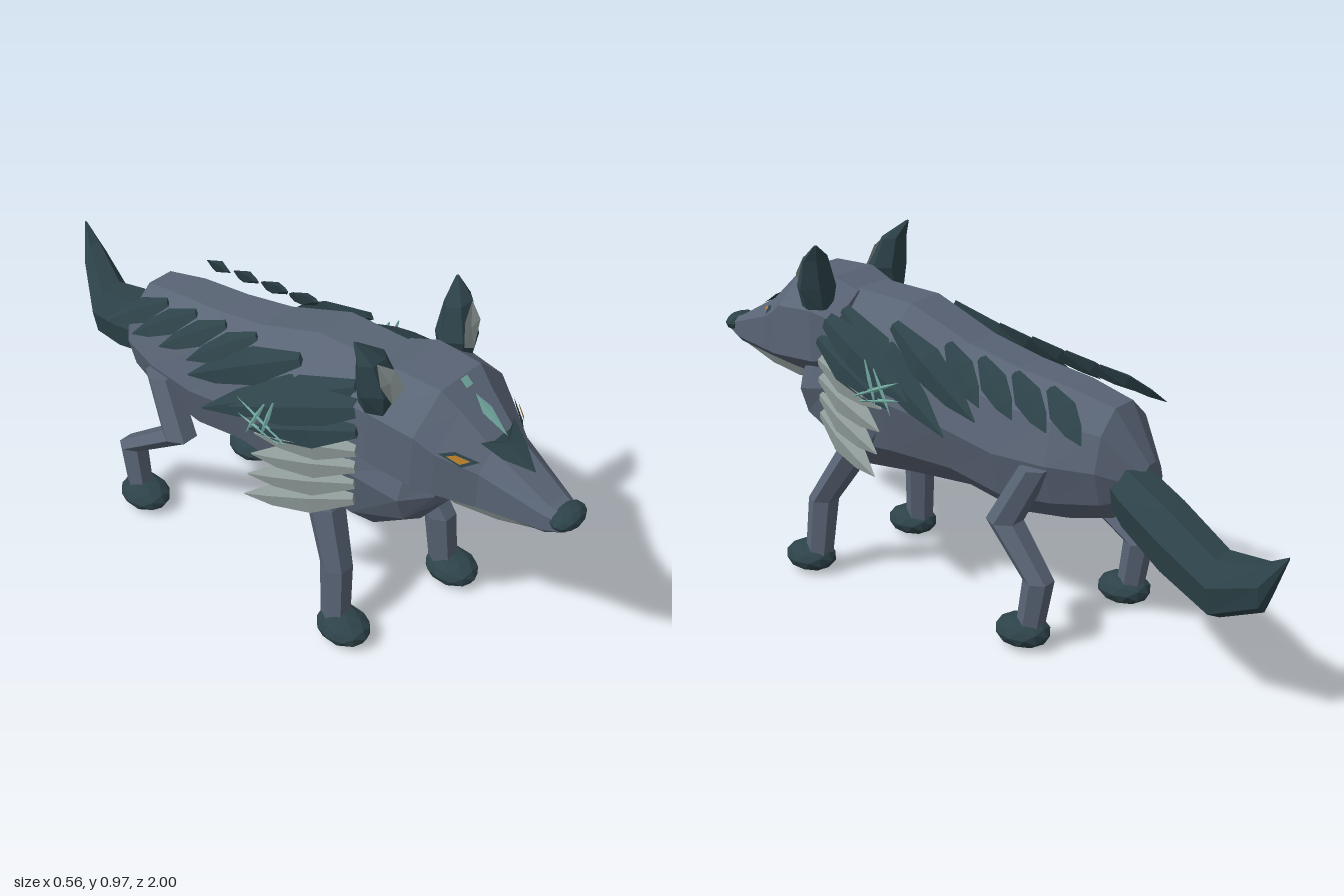
import * as THREE from 'three';

const mat = (name, color) => {
  const m = new THREE.MeshStandardMaterial({ color, flatShading: true, side: THREE.DoubleSide });
  m.name = name;
  return m;
};
const fur = mat('slateFur', 0x596475);
const dark = mat('darkTeal', 0x2d4349);
const pale = mat('paleGrey', 0x8d9997);
const accent = mat('mint', 0x70a69d);
const amber = mat('amber', 0xb87d2c);

const V = (x, y, z) => new THREE.Vector3(x, y, z);

// Flat-sided mesh from a list of triangles; winding is turned outward by signed volume
function triMesh(name, tris, material) {
  const c = V(0, 0, 0);
  tris.forEach(t => t.forEach(p => c.addScaledVector(p, 1 / (3 * tris.length))));
  let vol = 0;
  for (const [p, q, r] of tris) {
    vol += p.clone().sub(c).dot(q.clone().sub(c).cross(r.clone().sub(c)));
  }
  const pts = tris.flatMap(([p, q, r]) => (vol < 0 ? [p, r, q] : [p, q, r]));
  const geo = new THREE.BufferGeometry().setFromPoints(pts);
  geo.computeVertexNormals();
  const mesh = new THREE.Mesh(geo, material);
  mesh.name = name;
  return mesh;
}

// Skin through rings of equal point count, with both ends capped
function loft(name, rings, material) {
  const tris = [], n = rings[0].length;
  for (let i = 0; i < rings.length - 1; i++) {
    for (let j = 0; j < n; j++) {
      const k = (j + 1) % n, A = rings[i], B = rings[i + 1];
      tris.push([A[j], A[k], B[k]], [A[j], B[k], B[j]]);
    }
  }
  const first = rings[0], last = rings[rings.length - 1];
  for (let j = 1; j < n - 1; j++) {
    tris.push([first[0], first[j + 1], first[j]], [last[0], last[j], last[j + 1]]);
  }
  return triMesh(name, tris, material);
}

// Thin face fanned around the mean of its corners
function plate(name, pts, material) {
  const c = V(0, 0, 0);
  pts.forEach(p => c.addScaledVector(p, 1 / pts.length));
  return triMesh(name, pts.map((p, i) => [c, p, pts[(i + 1) % pts.length]]), material);
}

const ringXY = (n, x, y, z, rx, ry) => Array.from({ length: n }, (_, i) => {
  const a = Math.PI / 2 + (i + 0.5) / n * Math.PI * 2;
  return V(x + rx * Math.cos(a), y + ry * Math.sin(a), z);
});
const ringXZ = (n, x, y, z, rx, rz) => Array.from({ length: n }, (_, i) => {
  const a = i / n * Math.PI * 2;
  return V(x + rx * Math.cos(a), y, z + rz * Math.sin(a));
});

// Leaf-shaped tuft from root a to tip b
function tuft(name, a, b, width, thick, out, material) {
  const side = b.clone().sub(a).cross(out).normalize();
  const up = side.clone().cross(b.clone().sub(a)).normalize();
  const rings = [[0, 0.35], [0.4, 1], [0.75, 0.65], [1, 0.04]].map(([t, s]) => {
    const c = a.clone().lerp(b, t);
    return [[1, 0], [0, 1], [-1, 0], [0, -1]].map(([u, v]) =>
      c.clone().addScaledVector(side, u * s * width / 2).addScaledVector(up, v * s * thick / 2));
  });
  return loft(name, rings, material);
}

function blob(name, x, y, z, rx, ry, rz) {
  const m = new THREE.Mesh(new THREE.IcosahedronGeometry(1, 1), dark);
  m.name = name;
  m.position.set(x, y, z);
  m.scale.set(rx, ry, rz);
  return m;
}

export function createModel() {
  const g = new THREE.Group();
  g.name = 'wolf';

  // Torso: z, top, bottom, half width
  const torso = [[0.64, 0.59, 0.49, 0.08], [0.58, 0.66, 0.41, 0.15], [0.44, 0.835, 0.315, 0.19],
    [0.24, 0.825, 0.335, 0.195], [0.04, 0.748, 0.345, 0.18], [-0.12, 0.712, 0.31, 0.175],
    [-0.28, 0.69, 0.33, 0.165], [-0.41, 0.66, 0.36, 0.13], [-0.5, 0.52, 0.42, 0.05]];
  g.add(loft('torso', torso.map(([z, t, b, w]) =>
    ringXY(10, 0, (t + b) / 2, z, w, (t - b) / 2 / Math.cos(Math.PI / 10))), fur));

  // Head: z, top, upper cheek, lower cheek, bottom, top half width, cheek half width, bottom half width
  const head = [[0.42, 0.83, 0.76, 0.65, 0.57, 0.07, 0.165, 0.08], [0.5, 0.86, 0.785, 0.64, 0.565, 0.08, 0.185, 0.1],
    [0.63, 0.86, 0.775, 0.63, 0.57, 0.075, 0.172, 0.09], [0.68, 0.82, 0.74, 0.62, 0.57, 0.06, 0.15, 0.08],
    [0.77, 0.745, 0.70, 0.60, 0.57, 0.045, 0.095, 0.06], [0.93, 0.66, 0.645, 0.60, 0.582, 0.03, 0.052, 0.035],
    [0.975, 0.645, 0.635, 0.61, 0.6, 0.02, 0.035, 0.02]];
  g.add(loft('head', head.map(([z, t, u, l, b, tw, hw, bw]) => [V(tw, t, z), V(hw, u, z), V(hw, l, z), V(bw, b, z),
    V(-bw, b, z), V(-hw, l, z), V(-hw, u, z), V(-tw, t, z)]), fur));

  // Lower jaw: z, top, bottom, half width
  g.add(loft('lowerJaw', [[0.55, 0.59, 0.545, 0.08], [0.68, 0.592, 0.528, 0.085], [0.8, 0.59, 0.54, 0.062],
    [0.93, 0.592, 0.572, 0.03]].map(([z, t, b, w]) => [V(w, t, z), V(w * 0.6, b, z), V(-w * 0.6, b, z), V(-w, t, z)]), pale));
  g.add(blob('nose', 0, 0.632, 0.965, 0.057, 0.029, 0.036));

  // Forehead markings
  g.add(plate('foreheadPatch', [V(0, 0.762, 0.762), V(0.03, 0.76, 0.762), V(0.065, 0.764, 0.747), V(0.045, 0.733, 0.8),
    V(0, 0.704, 0.865), V(-0.045, 0.733, 0.8), V(-0.065, 0.764, 0.747), V(-0.03, 0.76, 0.762)], dark));
  g.add(plate('foreheadGem', [V(0, 0.836, 0.675), V(0.017, 0.807, 0.712), V(0, 0.763, 0.778), V(-0.017, 0.807, 0.712)], accent));
  g.add(plate('crownMark', [V(0.012, 0.864, 0.637), V(0.012, 0.848, 0.657), V(-0.012, 0.848, 0.657), V(-0.012, 0.864, 0.637)], accent));

  // Tail: x, y, z, half width, half height
  g.add(loft('tail', [[0.02, 0.47, -0.4, 0.06, 0.06], [0.04, 0.435, -0.48, 0.085, 0.09], [0.08, 0.375, -0.62, 0.088, 0.1],
    [0.125, 0.315, -0.78, 0.08, 0.088], [0.2, 0.385, -0.935, 0.045, 0.065], [0.225, 0.484, -1, 0.004, 0.004]]
    .map(([x, y, z, rx, ry]) => ringXY(7, x, y, z, rx, ry)), dark));

  for (const s of [1, -1]) {
    const side = s > 0 ? 'left' : 'right';
    const P = (x, y, z) => V(x * s, y, z);

    // Ear and its pale lining
    g.add(loft(side + 'Ear', [[0.15, 0.79, 0.5, 0.04, 0.045], [0.148, 0.85, 0.502, 0.064, 0.05],
      [0.163, 0.93, 0.488, 0.047, 0.03], [0.19, 0.975, 0.46, 0.004, 0.004]]
      .map(([x, y, z, rx, rz]) => ringXZ(6, x * s, y, z, rx, rz)), dark));
    g.add(plate(side + 'EarLining', [P(0.178, 0.935, 0.518), P(0.13, 0.902, 0.536), P(0.112, 0.845, 0.553),
      P(0.155, 0.822, 0.552), P(0.188, 0.885, 0.54)], pale));

    // Eye
    const rim = [P(0.085, 0.727, 0.764), P(0.118, 0.751, 0.714), P(0.147, 0.748, 0.687), P(0.12, 0.718, 0.737)];
    const mid = P(0.122, 0.734, 0.722);
    g.add(plate(side + 'EyeRim', rim, dark));
    g.add(plate(side + 'Iris', rim.map(p => p.clone().lerp(mid, 0.4).add(P(0.004, 0.004, 0.004))), amber));

    // Legs: x, y, z, radius
    const fz = s > 0 ? 0.53 : 0.46, hz = s > 0 ? -0.235 : -0.31;
    const front = [[0.14, 0.5, 0.31, 0.05], [0.16, 0.41, 0.36, 0.052], [0.172, 0.23, fz - 0.045, 0.044], [0.185, 0.05, fz - 0.03, 0.04]];
    const hind = [[0.155, 0.5, -0.25, 0.045], [0.175, 0.34, -0.165, 0.05], [0.182, 0.2, hz - 0.045, 0.042], [0.185, 0.05, hz - 0.02, 0.038]];
    const legRings = pts => pts.map(([x, y, z, r]) => ringXZ(6, x * s, y, z, r, r));
    g.add(loft(side + 'FrontLeg', legRings(front), fur), loft(side + 'HindLeg', legRings(hind), fur));
    g.add(blob(side + 'FrontPaw', s * 0.187, 0.045, fz, 0.066, 0.043, 0.08));
    g.add(blob(side + 'HindPaw', s * 0.187, 0.045, hz, 0.066, 0.043, 0.08));

    // Large shoulder tufts: root, tip, width
    for (const [a, b, w] of [[[0.13, 0.79, 0.42], [0.235, 0.55, -0.01], 0.11], [[0.13, 0.78, 0.24], [0.205, 0.6, -0.09], 0.1],
      [[0.16, 0.77, 0.47], [0.245, 0.62, 0.1], 0.11], [[0.18, 0.71, 0.47], [0.245, 0.59, 0.17], 0.09]]) {
      g.add(tuft(side + 'ShoulderTuft', P(...a), P(...b), w, 0.05, P(0.85, 0.5, 0), dark));
    }
    for (let i = 0; i < 4; i++) {
      // Small back tufts and pale chest spikes
      g.add(tuft(side + 'BackTuft', P(0.11, 0.755 - 0.018 * i, 0.07 - 0.11 * i),
        P(0.2, 0.64 - 0.01 * i, -0.1 - 0.105 * i), 0.075, 0.035, P(0.7, 0.7, 0), dark));
      g.add(tuft(side + 'ChestSpike', P(0.18, 0.65 - 0.052 * i, 0.47),
        P(0.245 + 0.012 * i, 0.585 - 0.06 * i, 0.19), 0.085, 0.045, P(0.9, 0.3, 0), pale));
    }

    // Shoulder mark of crossing strips, as y and z ends
    for (const [y0, z0, y1, z1] of [[0.71, 0.25, 0.58, 0.21], [0.6, 0.29, 0.67, 0.13], [0.69, 0.22, 0.57, 0.16], [0.59, 0.27, 0.62, 0.13]]) {
      g.add(tuft(side + 'ShoulderMark', P(0.24, y0, z0), P(0.245, y1, z1), 0.014, 0.009, P(1, 0, 0), accent));
    }
  }
  return g;
}
